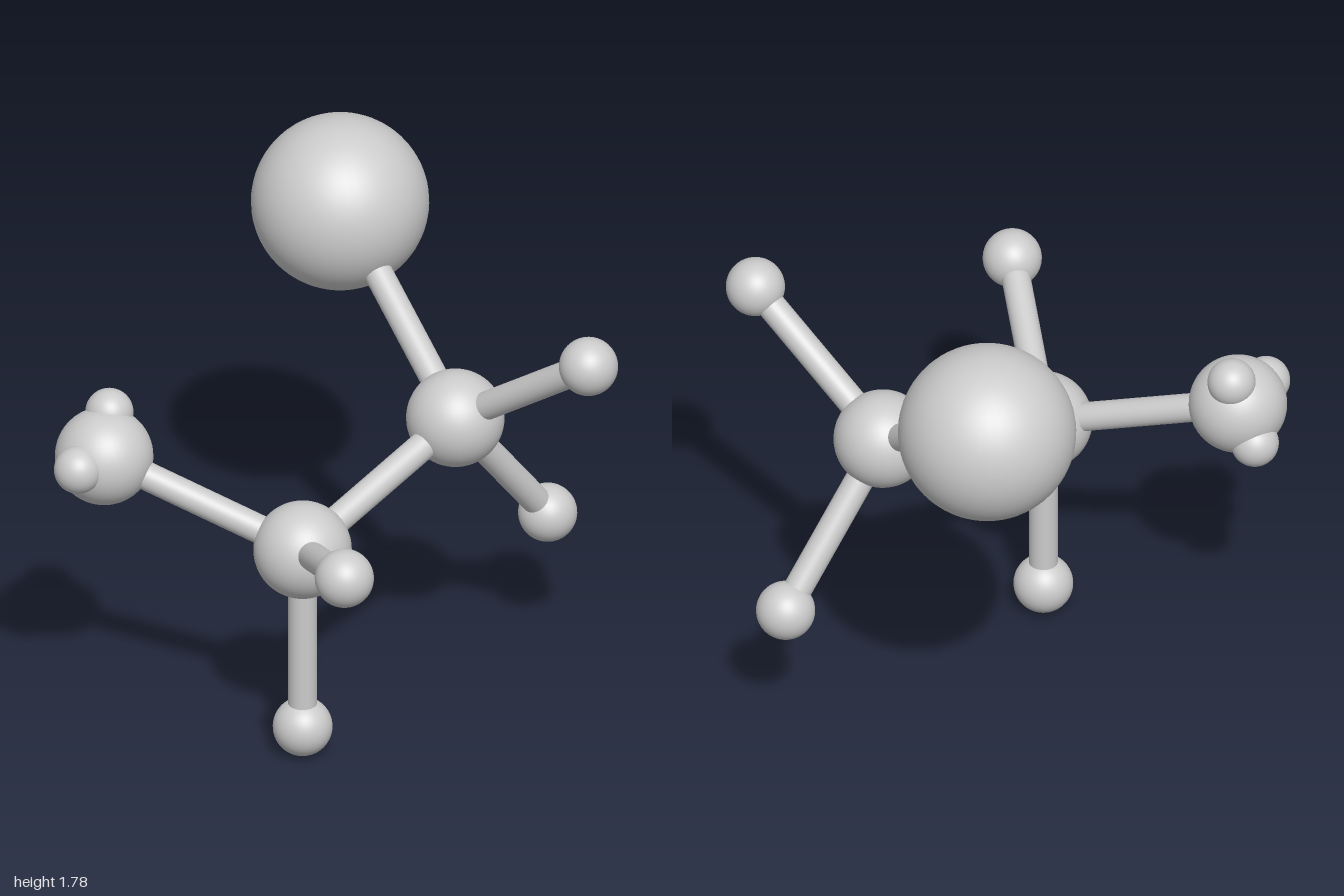
import * as THREE from 'three';

const BOND_RADIUS = 0.048;

// Ball centres and radii
const ATOMS = {
  largeAtom: [-0.256, 1.487, -0.705, 0.295],
  upperAtom: [0.288, 1.004, -0.233, 0.163],
  middleAtom: [-0.056, 0.762, 0.364, 0.163],
  endAtom: [-0.743, 1.004, 0.362, 0.163],
  upperSmallAtomLeft: [0.804, 1.372, -0.053, 0.098],
  upperSmallAtomBack: [0.496, 0.496, -0.594, 0.098],
  middleSmallAtomFront: [0.254, 0.982, 0.902, 0.098],
  middleSmallAtomBottom: [-0.056, 0.099, 0.364, 0.099],
  endSmallAtomTop: [-0.745, 1.135, 0.297, 0.08],
  endSmallAtomFront: [-0.79, 1.017, 0.502, 0.08],
  endSmallAtomBack: [-0.829, 0.915, 0.29, 0.08],
};

// Pairs joined by a rod
const BONDS = [
  ['upperAtom', 'largeAtom'],
  ['upperAtom', 'middleAtom'],
  ['middleAtom', 'endAtom'],
  ['upperAtom', 'upperSmallAtomLeft'],
  ['upperAtom', 'upperSmallAtomBack'],
  ['middleAtom', 'middleSmallAtomFront'],
  ['middleAtom', 'middleSmallAtomBottom'],
];

export function createModel() {
  const model = new THREE.Group();
  model.name = 'ballAndStickMolecule';
  const material = new THREE.MeshStandardMaterial({ color: 0xcccccc });

  // Balls
  for (const [name, [x, y, z, radius]] of Object.entries(ATOMS)) {
    const ball = new THREE.Mesh(new THREE.SphereGeometry(radius, 48, 32), material);
    ball.name = name;
    ball.position.set(x, y, z);
    model.add(ball);
  }

  // Rods running from centre to centre
  const up = new THREE.Vector3(0, 1, 0);
  for (const [from, to] of BONDS) {
    const a = new THREE.Vector3().fromArray(ATOMS[from]);
    const b = new THREE.Vector3().fromArray(ATOMS[to]);
    const rod = new THREE.Mesh(
      new THREE.CylinderGeometry(BOND_RADIUS, BOND_RADIUS, a.distanceTo(b), 32), material);
    rod.name = `bond ${from} to ${to}`;
    rod.position.lerpVectors(a, b, 0.5);
    rod.quaternion.setFromUnitVectors(up, b.clone().sub(a).normalize());
    model.add(rod);
  }
  return model;
}
